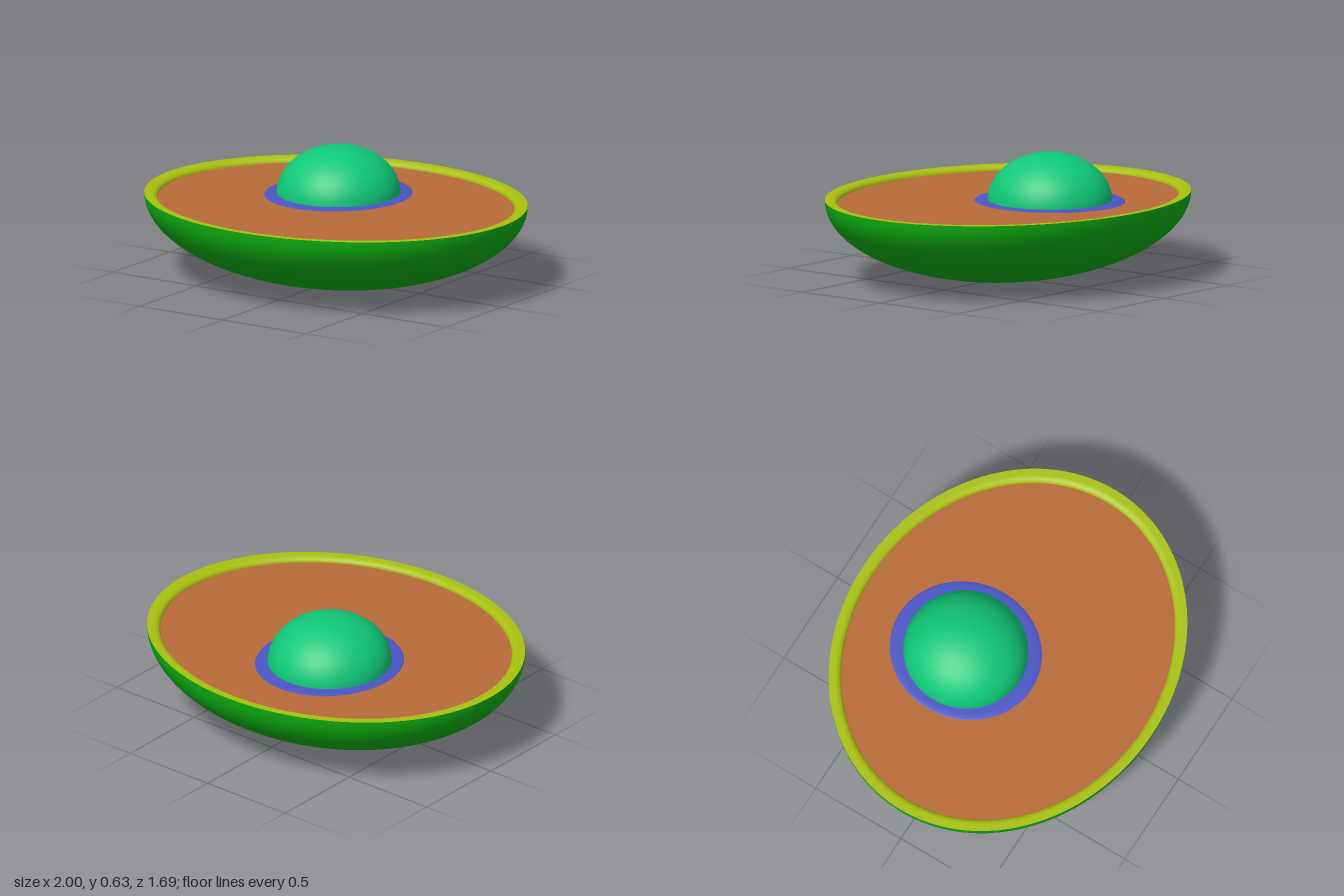
import * as THREE from 'three';

const RIM_Y = 0.415, FLESH_Y = 0.39;
const V = (x, y) => new THREE.Vector2(x, y);

// Points along an elliptical arc, angles measured from +x towards +y
function arc(cx, cy, rx, ry, from, to, n) {
  return Array.from({ length: n + 1 }, (_, i) => {
    const a = from + ((to - from) * i) / n;
    return V(Math.max(0, cx + rx * Math.cos(a)), cy + ry * Math.sin(a));
  });
}

function part(name, geometry, color) {
  const mesh = new THREE.Mesh(geometry, new THREE.MeshStandardMaterial({ color }));
  mesh.name = name;
  return mesh;
}

// Revolved profile, stretched along z into an oval
function oval(name, profile, zScale, color) {
  return part(name, new THREE.LatheGeometry(profile, 96).scale(1, 1, zScale), color);
}

export function createModel() {
  const group = new THREE.Group();
  const H = Math.PI / 2;

  // Outer skin: lower half of an ellipsoid
  group.add(oval('skin', arc(0, RIM_Y, 1, RIM_Y, -H, 0, 32), 0.845, 0x0caa10));

  // Rim rolling over and down to the flesh
  const rim = [V(1, RIM_Y), ...arc(0.93, FLESH_Y, 0.035, RIM_Y - FLESH_Y, H, 0, 8).map(
    (p) => V(1.86 - p.x + 0.035, p.y))];
  group.add(oval('rim', rim, 0.85, 0xa8c010));
  group.children[1].geometry.scale(1, 1, 0.845 / 0.85);

  // Flat cut flesh
  const flesh = new THREE.CircleGeometry(1, 96).rotateX(-H).scale(0.932, 1, 0.795);
  flesh.translate(0, FLESH_Y, 0);
  group.add(part('flesh', flesh, 0xb86a38));

  // Pit and the low ring around it
  const core = new THREE.Group();
  core.name = 'core';
  core.position.set(-0.108, FLESH_Y, -0.18);
  core.add(oval('pitRing', [V(0.36, 0), V(0.352, 0.004), V(0.33, 0.006), V(0.28, 0.006)], 1.07, 0x4a55c4));
  core.add(oval('pit', arc(0, 0, 0.307, 0.243, 0, H, 24), 1.02, 0x10c878));
  core.children[1].geometry.computeBoundingBox();
  group.add(core);
  return group;
}
